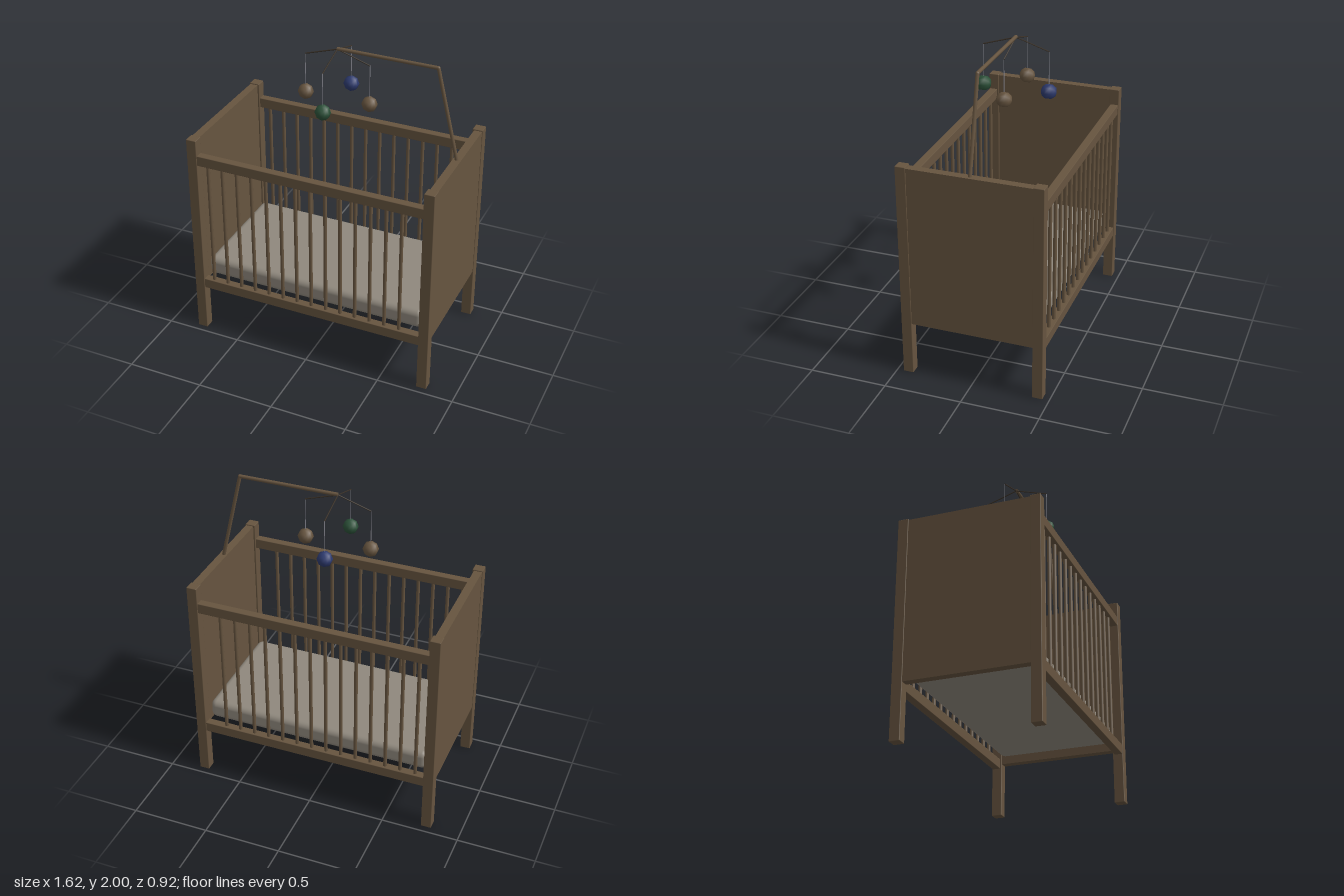
import * as THREE from 'three';
import { RoundedBoxGeometry } from 'three/addons/geometries/RoundedBoxGeometry.js';

export function createModel() {
  const model = new THREE.Group();
  model.name = 'crib';

  const material = (name, color) => {
    const m = new THREE.MeshStandardMaterial({ color });
    m.name = name;
    return m;
  };
  const wood = material('brown wood', 0x66543f);
  const cloth = material('grey cloth', 0x8f887d);
  const green = material('green', 0x2b5038);
  const blue = material('blue', 0x2d3a6e);
  const tan = material('tan', 0x66543f);
  const wire = material('dark wire', 0x3a3128);
  const thread = material('pale thread', 0x8a8a94);

  const add = (name, geometry, mat, x = 0, y = 0, z = 0) => {
    const mesh = new THREE.Mesh(geometry, mat);
    mesh.name = name;
    mesh.position.set(x, y, z);
    model.add(mesh);
    return mesh;
  };
  // Straight round bar between two points
  const bar = (name, a, b, radius, mat, sides = 8) => {
    const from = new THREE.Vector3(...a);
    const to = new THREE.Vector3(...b);
    const dir = to.clone().sub(from);
    const mesh = add(name, new THREE.CylinderGeometry(radius, radius, dir.length(), sides), mat);
    mesh.position.copy(from).add(to).multiplyScalar(0.5);
    mesh.quaternion.setFromUnitVectors(new THREE.Vector3(0, 1, 0), dir.normalize());
    return mesh;
  };

  // Corner posts and solid end panels
  for (const sx of [-1, 1]) {
    for (const sz of [-1, 1]) {
      add('cornerPost', new RoundedBoxGeometry(0.067, 1.418, 0.067, 1, 0.004), wood, sx * 0.779, 0.709, sz * 0.424);
    }
    add('endPanel', new THREE.BoxGeometry(0.052, 1.055, 0.8), wood, sx * 0.782, 0.883, 0);
  }

  // Long sides: two rails joined by slats
  for (const sz of [-1, 1]) {
    for (const y of [0.357, 1.278]) {
      add('sideRail', new RoundedBoxGeometry(1.52, 0.068, 0.052, 1, 0.004), wood, 0, y, sz * 0.427);
    }
    for (let i = 0; i < 14; i++) {
      const x = -0.684 + i * 0.0993;
      bar('slat', [x, 0.38, sz * 0.427], [x, 1.25, sz * 0.427], 0.012, wood);
    }
  }

  // Mattress
  add('mattress', new RoundedBoxGeometry(1.486, 0.13, 0.776, 3, 0.04), cloth, 0, 0.457, 0);

  // Bent arm holding the mobile
  const elbow = [0.64, 1.988, 0];
  bar('mobilePost', [0.782, 1.4, 0], elbow, 0.012, wood);
  bar('mobileArm', elbow, [0, 1.988, 0], 0.012, wood);
  add('mobileElbow', new THREE.SphereGeometry(0.012, 8, 6), wood, ...elbow);

  // Hanging spokes, threads and balls
  const hangers = [[1, 0, tan], [-1, 0, tan], [0, 1, green], [0, -1, blue]];
  for (const [dx, dz, mat] of hangers) {
    const x = dx * 0.212;
    const z = dz * 0.212;
    bar('mobileSpoke', [0, 1.985, 0], [x, 1.918, z], 0.004, wire, 6);
    bar('mobileThread', [x, 1.918, z], [x, 1.7, z], 0.002, thread, 6);
    const ball = add('mobileBall', new THREE.SphereGeometry(0.05, 8, 5), mat, x, 1.663, z);
    ball.rotation.x = Math.PI / 2;
  }
  return model;
}
